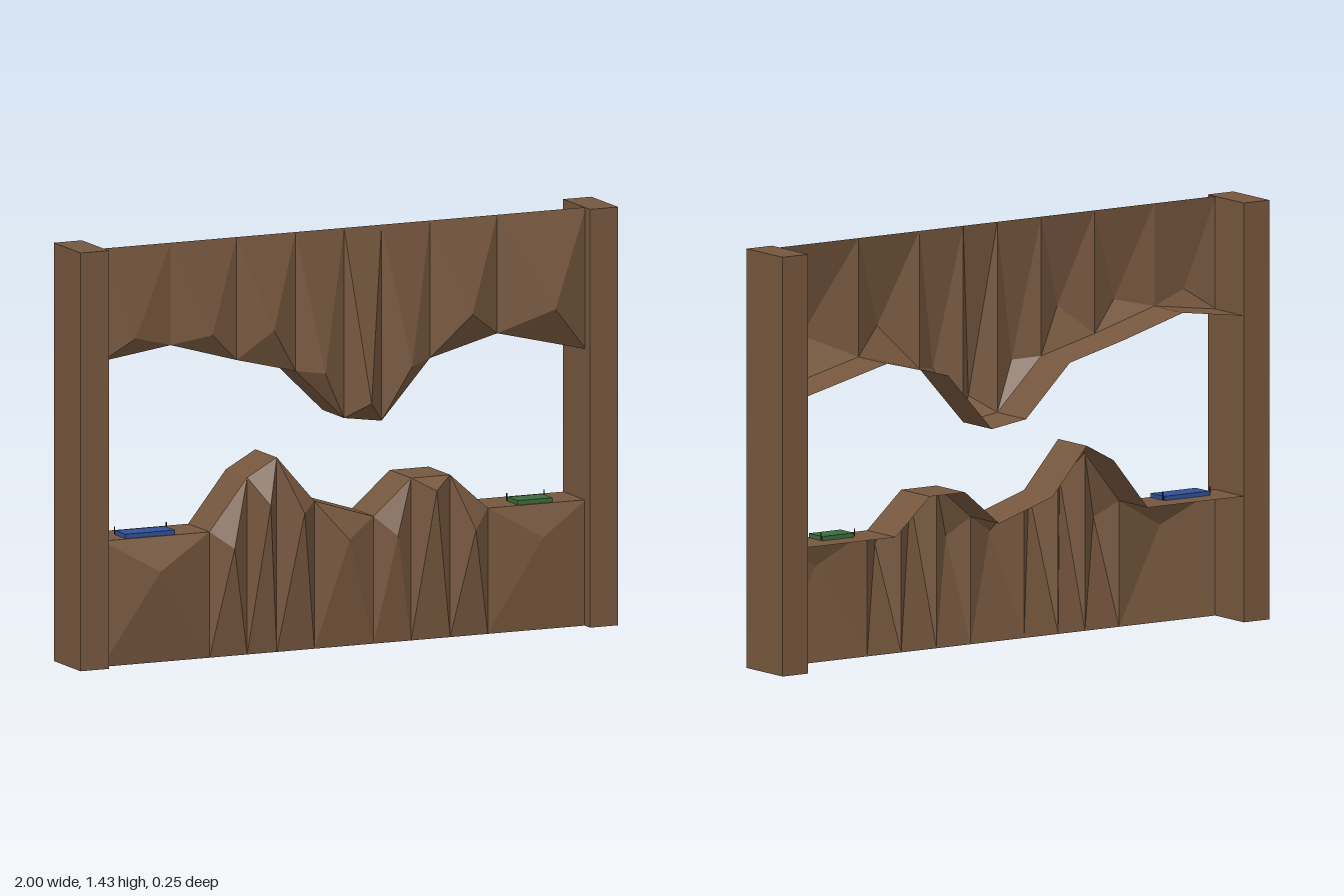
import * as THREE from 'three';

const FRONT = 0.045, BACK = -0.123, TOP = 1.43;

export function createModel() {
  const group = new THREE.Group();
  const material = (name, color) => {
    const m = new THREE.MeshStandardMaterial({ color, flatShading: true, side: THREE.DoubleSide });
    m.name = name;
    return m;
  };
  const rock = material('brown rock', 0x76573e);
  const blue = material('blue pad', 0x304f96);
  const green = material('green pad', 0x3c6a3a);
  const dark = material('dark marker', 0x222222);

  const add = (name, geometry, mat, x = 0, y = 0, z = 0) => {
    const mesh = new THREE.Mesh(geometry, mat);
    mesh.name = name;
    mesh.position.set(x, y, z);
    group.add(mesh);
  };
  const surface = (points) => {
    const g = new THREE.BufferGeometry();
    g.setAttribute('position', new THREE.Float32BufferAttribute(points.flat(), 3));
    g.computeVertexNormals();
    return g;
  };

  // Rock band: each panel of the face is a fan round a raised peak;
  // a ledge runs back from the profile, open behind and at baseY.
  const addBand = (name, profile, peaks, baseY) => {
    const face = [], ledge = [];
    const up = baseY === 0;
    peaks.forEach((peak, i) => {
      const [x0, y0] = profile[i], [x1, y1] = profile[i + 1];
      const low = up ? [baseY, baseY] : [y0, y1];
      const high = up ? [y0, y1] : [baseY, baseY];
      const ring = [[x0, low[0], FRONT], [x1, low[1], FRONT], [x1, high[1], FRONT], [x0, high[0], FRONT]];
      ring.forEach((p, k) => face.push(p, ring[(k + 1) % 4], peak));
      const a = [x0, y0, FRONT], b = [x1, y1, FRONT], c = [x1, y1, BACK], d = [x0, y0, BACK];
      if (up) ledge.push(a, b, c, a, c, d);
      else ledge.push(a, c, b, a, d, c);
    });
    add(name + 'Face', surface(face), rock);
    add(name + 'Ledge', surface(ledge), rock);
  };

  addBand('ceiling',
    [[-0.9, 1.045], [-0.645, 1.08], [-0.4, 1.01], [-0.18, 0.955], [0, 0.78],
      [0.14, 0.76], [0.32, 0.96], [0.57, 1.025], [0.9, 0.945]],
    [[-0.79, 1.12, 0.08], [-0.51, 1.11, 0.09], [-0.285, 1.11, 0.1], [-0.09, 0.945, 0.09],
      [0.07, 0.835, 0.115], [0.23, 0.945, 0.095], [0.445, 1.11, 0.115], [0.75, 1.105, 0.123]],
    TOP);

  addBand('floor',
    [[-0.9, 0.43], [-0.5, 0.43], [-0.36, 0.605], [-0.25, 0.665], [-0.11, 0.505],
      [0.11, 0.435], [0.25, 0.555], [0.395, 0.555], [0.535, 0.43], [0.9, 0.43]],
    [[-0.71, 0.32, 0.105], [-0.43, 0.375, 0.095], [-0.305, 0.515, 0.115], [-0.18, 0.48, 0.117],
      [0, 0.37, 0.09], [0.18, 0.37, 0.09], [0.32, 0.515, 0.1], [0.465, 0.37, 0.1], [0.725, 0.32, 0.08]],
    0);

  // Side posts
  for (const side of [-1, 1]) {
    add(side > 0 ? 'leftPost' : 'rightPost', new THREE.BoxGeometry(0.105, TOP, 0.211), rock,
      side * 0.9475, TOP / 2, -0.0175);
  }

  // Landing pads, each with a thin marker at both ends
  const addPad = (name, x, width, mat) => {
    add(name, new THREE.BoxGeometry(width, 0.02, 0.08), mat, x, 0.435, -0.003);
    for (const side of [-1, 1]) {
      add(name + 'Marker', new THREE.BoxGeometry(0.003, 0.026, 0.003), dark,
        x + side * (width / 2 + 0.004), 0.446, -0.04);
    }
  };
  addPad('bluePad', -0.717, 0.185, blue);
  addPad('greenPad', 0.715, 0.13, green);

  return group;
}
